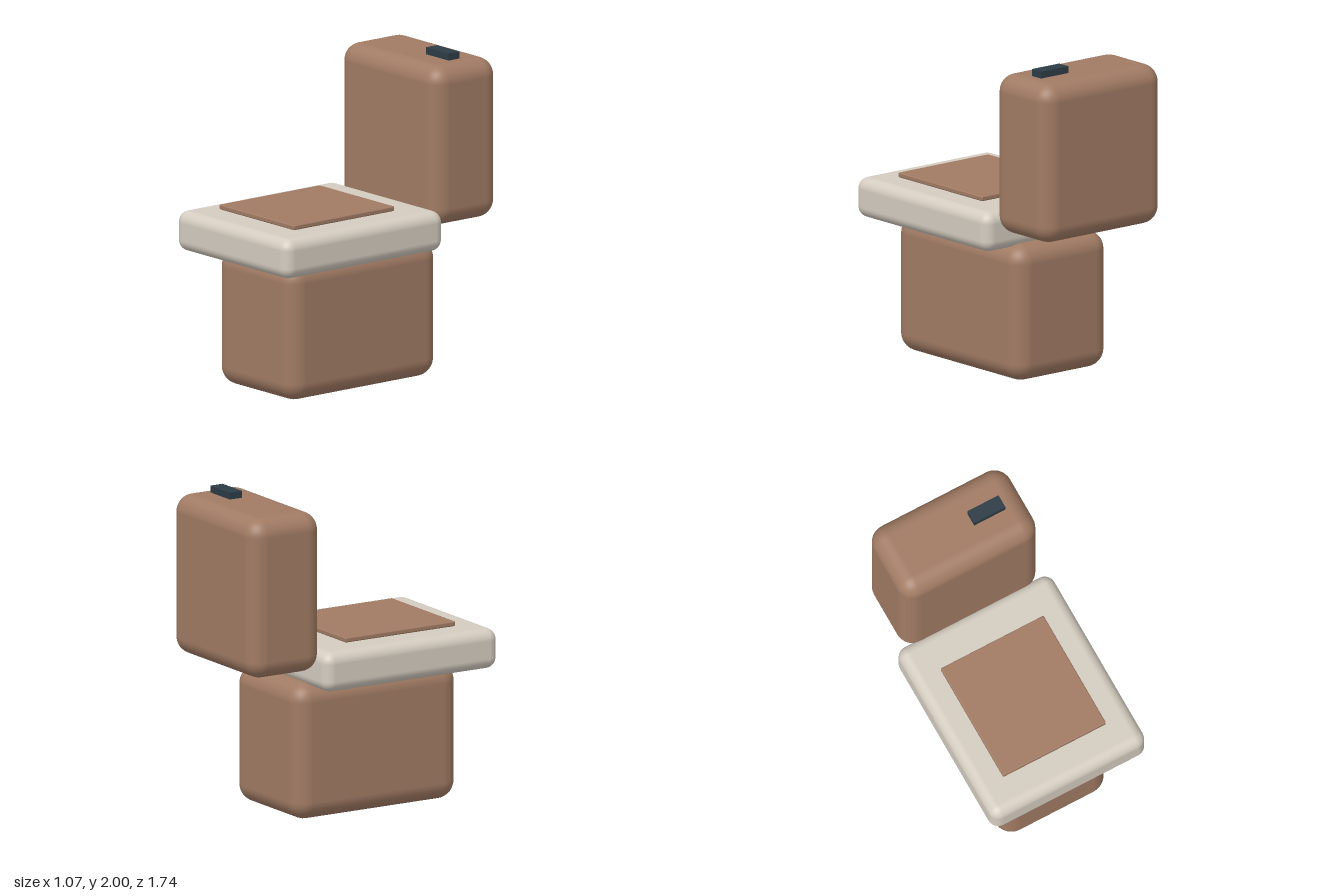
import * as THREE from 'three';
import { RoundedBoxGeometry } from 'three/addons/geometries/RoundedBoxGeometry.js';

const brown = new THREE.MeshStandardMaterial({ color: 0xa17b64 });
const cream = new THREE.MeshStandardMaterial({ color: 0xd4ccc0 });
const slate = new THREE.MeshStandardMaterial({ color: 0x2d3c46 });

// Box spanning the given [min, max] ranges, with rounded edges if radius > 0
function block(name, material, [x0, x1], [y0, y1], [z0, z1], radius) {
  const size = [x1 - x0, y1 - y0, z1 - z0];
  const geometry = radius > 0
    ? new RoundedBoxGeometry(...size, 5, radius)
    : new THREE.BoxGeometry(...size);
  const mesh = new THREE.Mesh(geometry, material);
  mesh.name = name;
  mesh.position.set((x0 + x1) / 2, (y0 + y1) / 2, (z0 + z1) / 2);
  return mesh;
}

export function createModel() {
  const model = new THREE.Group();
  model.name = 'toilet';
  model.add(
    // Base and seat
    block('pedestal', brown, [-0.37, 0.37], [0, 0.855], [-0.485, 0.695], 0.115),
    block('seat', cream, [-0.537, 0.537], [0.83, 1.08], [-0.385, 0.872], 0.07),
    // Thin panel hovering just above the seat
    block('seatPanel', brown, [-0.358, 0.358], [1.086, 1.117], [-0.13, 0.665], 0.008),
    // Cistern with its flush button on the left
    block('cistern', brown, [-0.473, 0.473], [0.957, 1.957], [-0.872, -0.362], 0.11),
    block('flushButton', slate, [0.12, 0.337], [1.945, 2], [-0.662, -0.574], 0),
  );
  return model;
}
